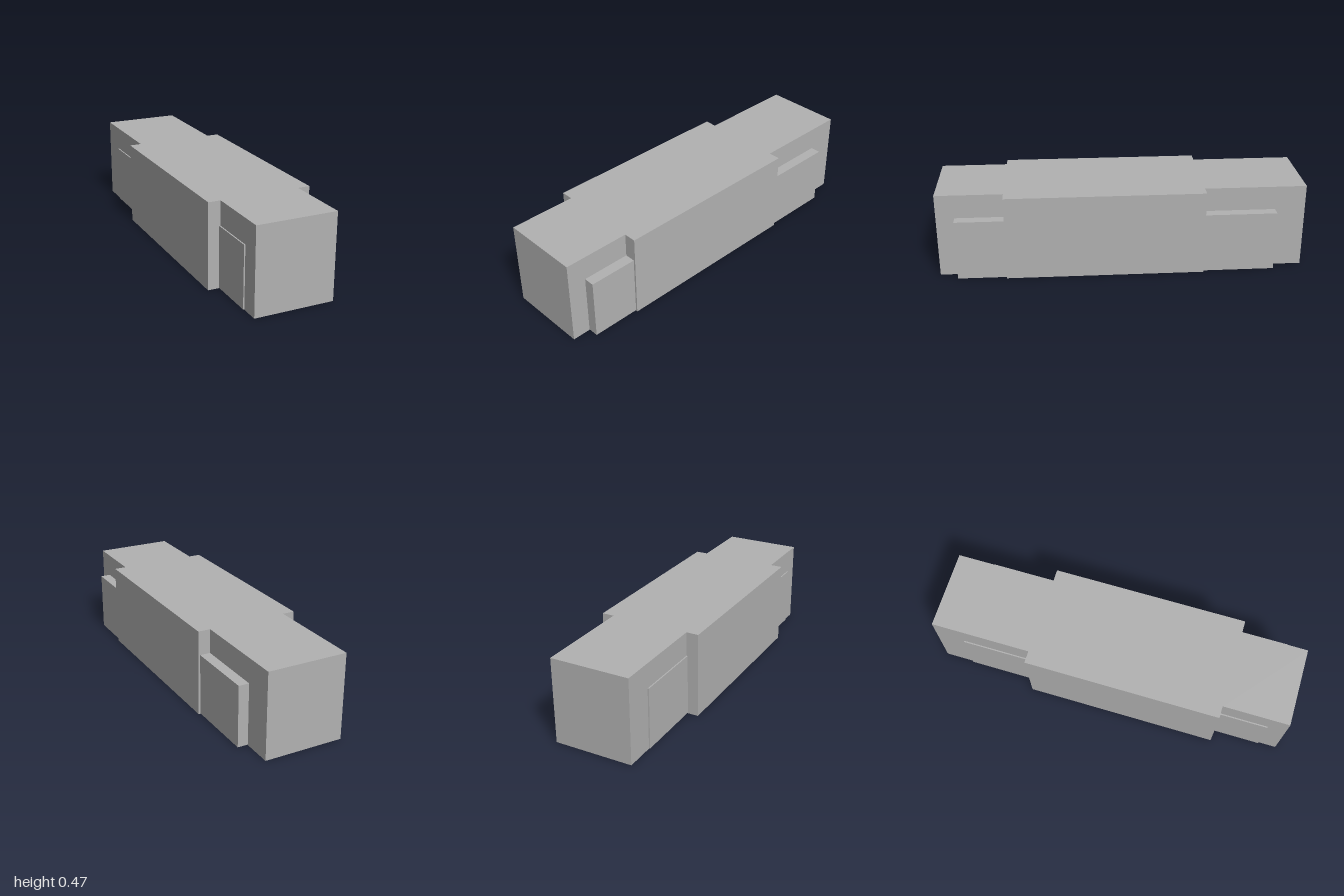
import * as THREE from 'three';

export function createModel() {
  const model = new THREE.Group();
  model.name = 'steppedBlock';
  const grey = new THREE.MeshStandardMaterial({ color: 0xb2b2b2 });
  grey.name = 'plain grey';

  const height = 0.47, endHalf = 0.218, midHalf = 0.285;
  const midBack = -0.445, midFront = 0.635;

  // Main body: plan outline with a wider middle, extruded upward (shape y is -z)
  const side = [
    [endHalf, 1], [endHalf, midFront], [midHalf, midFront],
    [midHalf, midBack], [endHalf, midBack], [endHalf, -1],
  ];
  const outline = [...side, ...side.map(([x, z]) => [-x, z]).reverse()];
  const plan = new THREE.Shape(outline.map(([x, z]) => new THREE.Vector2(x, -z)));
  const bodyGeometry = new THREE.ExtrudeGeometry(plan, { depth: height, bevelEnabled: false });
  bodyGeometry.rotateX(-Math.PI / 2);
  const body = new THREE.Mesh(bodyGeometry, grey);
  body.name = 'body';
  model.add(body);

  // Side panels beside the narrow ends: deep on the left, shallow on the right
  const bottom = 0.003, top = 0.338;
  function addPanel(name, inner, outer, z0, z1) {
    const geometry = new THREE.BoxGeometry(Math.abs(outer - inner), top - bottom, z1 - z0);
    const panel = new THREE.Mesh(geometry, grey);
    panel.name = name;
    panel.position.set((inner + outer) / 2, (top + bottom) / 2, (z0 + z1) / 2);
    model.add(panel);
  }
  for (const [end, z0, z1] of [['front', midFront, 0.9], ['back', -0.835, midBack]]) {
    addPanel(end + 'LeftPanel', endHalf, 0.275, z0, z1);
    addPanel(end + 'RightPanel', -endHalf, -0.225, z0, z1);
  }
  return model;
}
